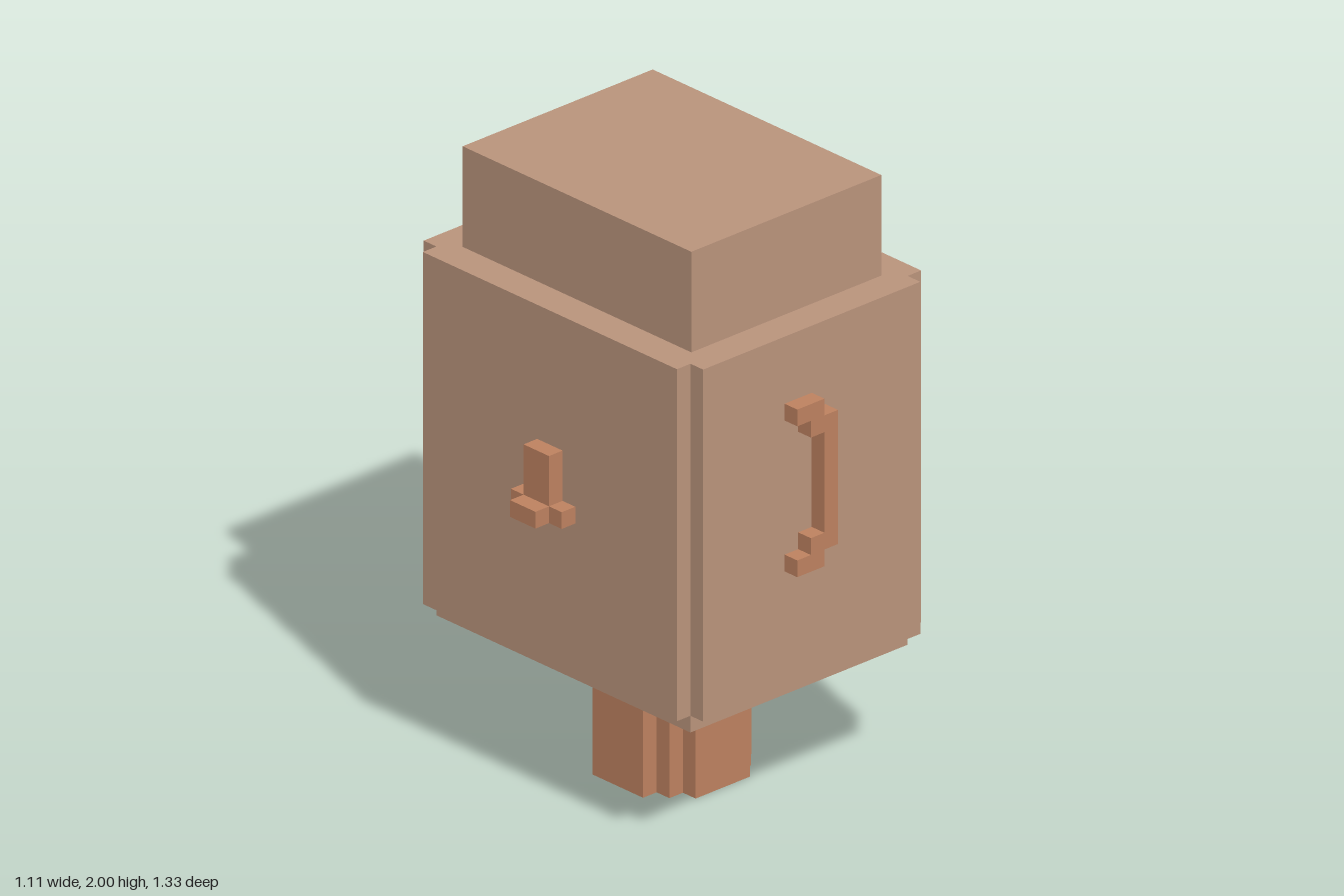
import * as THREE from 'three';

const U = 1 / 18; // one grid cell

export function createModel() {
  const model = new THREE.Group();
  model.name = 'blockHead';

  const paleSkin = new THREE.MeshStandardMaterial({ name: 'pale skin', color: 0xba947c });
  const darkSkin = new THREE.MeshStandardMaterial({ name: 'dark skin', color: 0xbe8260 });

  // Extrudes an outline given in cells
  const extrude = (points, depth) => {
    const shape = new THREE.Shape(points.map(([x, y]) => new THREE.Vector2(x * U, y * U)));
    return new THREE.ExtrudeGeometry(shape, { depth: depth * U, bevelEnabled: false });
  };

  // Upright prism: plan outline in x and z, from y0 to y1
  const prism = (points, y0, y1) =>
    extrude(points, y1 - y0).rotateX(-Math.PI / 2).translate(0, y0 * U, 0);

  // Box between two corners in cells
  const box = (x0, x1, y0, y1, z0, z1) =>
    new THREE.BoxGeometry((x1 - x0) * U, (y1 - y0) * U, (z1 - z0) * U)
      .translate((x0 + x1) * U / 2, (y0 + y1) * U / 2, (z0 + z1) * U / 2);

  const add = (name, geometry, material, parent = model) => {
    const mesh = new THREE.Mesh(geometry, material);
    mesh.name = name;
    parent.add(mesh);
    return mesh;
  };

  // Stepped plan centred on x = 1, from one quadrant's corners
  const steppedPlan = (corners) => {
    const back = [...corners].reverse();
    return [
      ...corners,
      ...back.map(([x, z]) => [-x, z]),
      ...corners.map(([x, z]) => [-x, -z]),
      ...back.map(([x, z]) => [x, -z]),
    ].map(([x, z]) => [x + 1, z]);
  };

  // Neck: a stepped round column
  add('neck', prism(steppedPlan([[4, 2], [3, 2], [3, 3], [2, 3], [2, 4]]), 0, 8), darkSkin);

  // Head: jaw layer, main block with notched corners, crown
  add('jaw', box(-7, 9, 8, 9, -10, 10), paleSkin);
  add('head', prism(steppedPlan([[9, 10], [8, 10], [8, 11]]), 9, 30), paleSkin);
  add('crown', box(-6, 8, 30, 36, -9, 9), paleSkin);

  // Ears: a bracket on each side
  const ear = [
    [-1, 26], [1, 26], [1, 25], [2, 25], [2, 17], [1, 17], [1, 16], [-1, 16],
    [-1, 17], [0, 17], [0, 18], [1, 18], [1, 24], [0, 24], [0, 25], [-1, 25],
  ];
  for (const [name, z] of [['frontEar', 11], ['backEar', -12]]) {
    add(name, extrude(ear, 1).translate(0, 0, z * U), darkSkin);
  }

  // Nose: bridge, tip and two nostrils
  const nose = new THREE.Group();
  nose.name = 'nose';
  model.add(nose);
  add('noseBridge', box(-9, -8, 18, 22, -1, 1), darkSkin, nose);
  add('noseTip', box(-10, -9, 18, 19, -1, 1), darkSkin, nose);
  for (const side of [-1, 1]) {
    add('nostril', box(-9, -8, 18, 19, side * 1.5 - 0.5, side * 1.5 + 0.5), darkSkin, nose);
  }

  return model;
}
